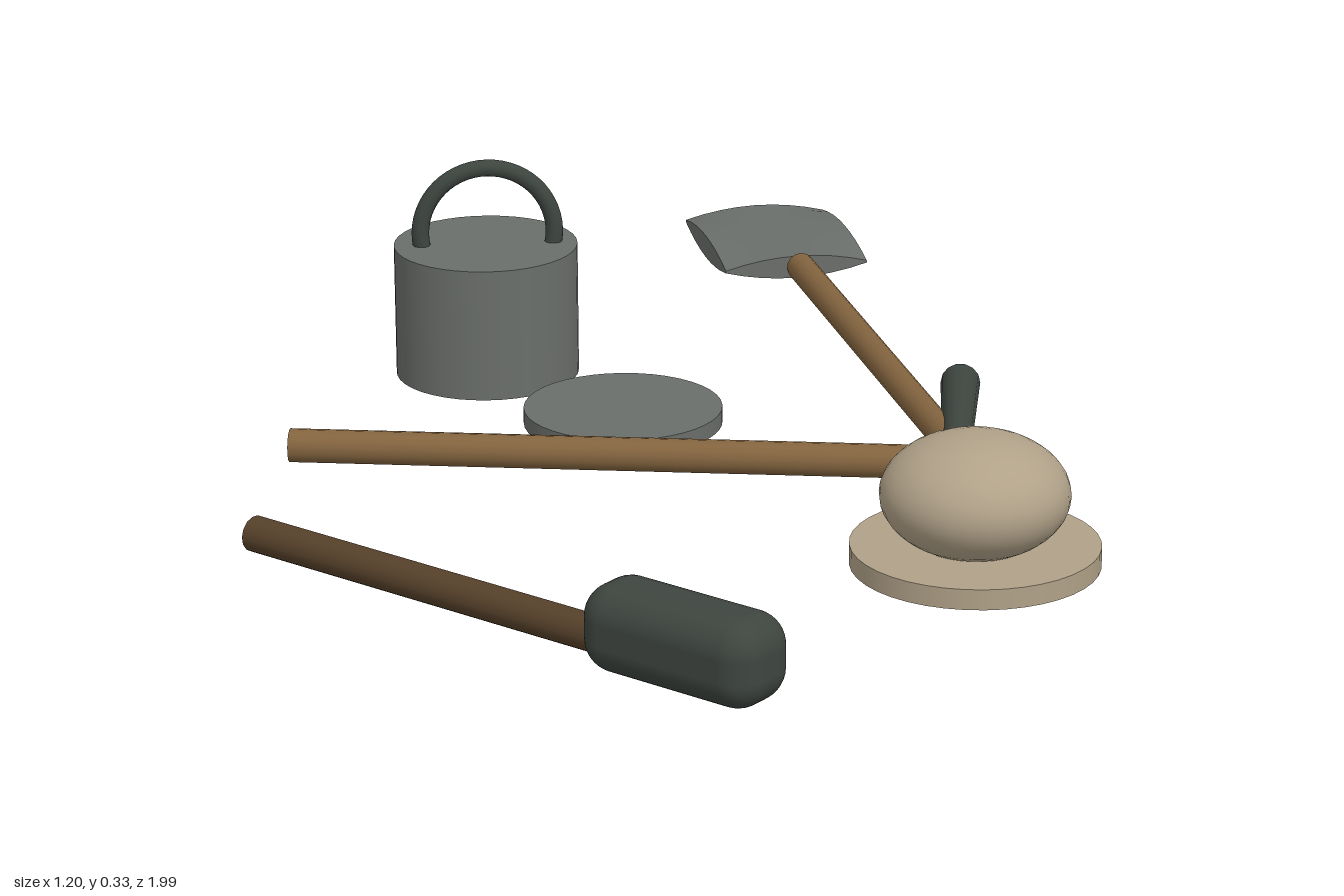
import * as THREE from 'three';
import { RoundedBoxGeometry } from 'three/addons/geometries/RoundedBoxGeometry.js';

const mat = (name, color) => {
  const m = new THREE.MeshStandardMaterial({ color });
  m.name = name;
  return m;
};

export function createModel() {
  const grey = mat('steel grey', 0x6a6e6a);
  const dark = mat('dark iron', 0x3e453f);
  const wood = mat('light wood', 0x83643f);
  const darkWood = mat('dark wood', 0x56412a);
  const cream = mat('cream', 0xb0a188);

  const model = new THREE.Group();
  model.name = 'toolSet';
  const add = (name, geometry, material, x, y, z, turn = 0) => {
    const mesh = new THREE.Mesh(geometry, material);
    mesh.name = name;
    mesh.position.set(x, y, z);
    mesh.rotation.y = turn;
    model.add(mesh);
    return mesh;
  };
  // upright disc or drum standing between two heights
  const drum = (name, r, y0, y1, material, x, z) =>
    add(name, new THREE.CylinderGeometry(r, r, y1 - y0, 40), material, x, (y0 + y1) / 2, z);
  // lying rod between two ground points [x, z]
  const rod = (name, a, b, y, ra, rb, material, sides = 14) => {
    const p = new THREE.Vector3(a[0], y, a[1]);
    const q = new THREE.Vector3(b[0], y, b[1]);
    const dir = q.clone().sub(p);
    const mid = p.clone().lerp(q, 0.5);
    const mesh = add(name, new THREE.CylinderGeometry(rb, ra, dir.length(), sides), material, mid.x, y, mid.z);
    mesh.quaternion.setFromUnitVectors(new THREE.Vector3(0, 1, 0), dir.normalize());
  };

  // Pail with an arched handle
  drum('pail', 0.137, 0, 0.2, grey, -0.467, -0.207);
  const arch = new THREE.TorusGeometry(0.1, 0.013, 10, 32, Math.PI + 0.4);
  arch.rotateZ(-0.2);
  add('pailHandle', arch, dark, -0.465, 0.217, -0.21, 0.39);

  // Loose lid
  drum('lid', 0.145, 0.006, 0.03, grey, -0.198, -0.03);

  // Round loaf on a plate
  drum('plate', 0.171, 0.006, 0.035, cream, 0.427, 0.372);
  const loaf = add('loaf', new THREE.SphereGeometry(0.13, 32, 20), cream, 0.425, 0.105, 0.37);
  loaf.scale.y = 0.65;

  // Shovel: shaft, cross grip, blade thinning towards its corners
  rod('shovelShaft', [-0.11, -0.68], [0.362, 0.125], 0.047, 0.022, 0.022, wood);
  add('shovelGrip', new THREE.BoxGeometry(0.165, 0.05, 0.065), darkWood, 0.384, 0.05, 0.16, 0.53);
  const W = 0.229, L = 0.274;
  const blade = new THREE.BoxGeometry(W, 0.036, L, 8, 1, 8);
  const p = blade.attributes.position;
  for (let i = 0; i < p.count; i++) {
    const u = p.getX(i) / (W / 2), v = p.getZ(i) / (L / 2);
    p.setY(i, p.getY(i) * (1 - 0.9 * u * u * v * v));
  }
  blade.computeVertexNormals();
  add('shovelBlade', blade, grey, -0.191, 0.038, -0.821, 0.524);

  // Pick: shaft and tapered head set across its end
  rod('pickShaft', [-0.588, 0.302], [0.283, 0.121], 0.047, 0.024, 0.024, wood);
  rod('pickHead', [0.267, -0.195], [0.4, 0.4], 0.056, 0.029, 0.011, dark);

  // Mallet: shaft and soft-edged head
  rod('malletShaft', [-0.51, 0.638], [0.1, 0.872], 0.047, 0.025, 0.025, darkWood);
  add('malletHead', new RoundedBoxGeometry(0.28, 0.12, 0.115, 5, 0.045), dark, 0.177, 0.075, 0.905, -0.367);

  return model;
}
